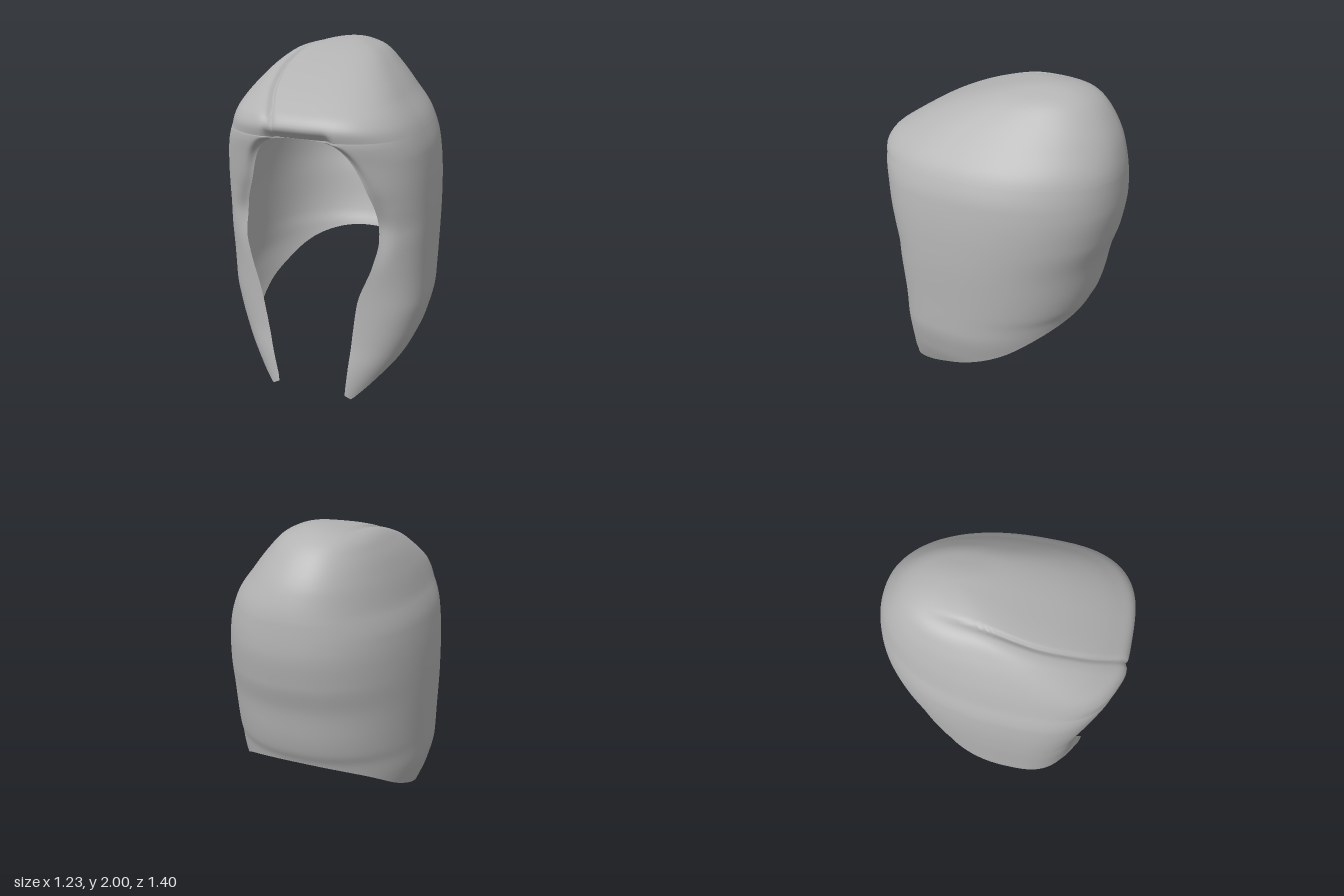
import * as THREE from 'three';
import { mergeVertices } from 'three/addons/utils/BufferGeometryUtils.js';

// Smooth monotone interpolation through [key, value] pairs with ascending keys
function curve(keys) {
  const n = keys.length;
  const d = keys.slice(1).map((k, i) => (k[1] - keys[i][1]) / (k[0] - keys[i][0]));
  const m = keys.map((_, i) => {
    if (i === 0) return d[0];
    if (i === n - 1) return d[n - 2];
    return d[i - 1] * d[i] <= 0 ? 0 : (2 * d[i - 1] * d[i]) / (d[i - 1] + d[i]);
  });
  return (x) => {
    if (x <= keys[0][0]) return keys[0][1];
    if (x >= keys[n - 1][0]) return keys[n - 1][1];
    let i = 0;
    while (x > keys[i + 1][0]) i++;
    const w = keys[i + 1][0] - keys[i][0], t = (x - keys[i][0]) / w, t2 = t * t, t3 = t2 * t;
    return (2 * t3 - 3 * t2 + 1) * keys[i][1] + (t3 - 2 * t2 + t) * w * m[i]
      + (3 * t2 - 2 * t3) * keys[i + 1][1] + (t3 - t2) * w * m[i + 1];
  };
}
// The same, keyed by height; spaced by the root of the depth so the crown is round
const byHeight = (keys) => {
  const f = curve(keys.map(([y, v]) => [Math.sqrt(2 - y), v]));
  return (y) => f(Math.sqrt(Math.max(0, 2 - y)));
};

// Half width and sideways shift of each level section
const halfWidth = byHeight([[2, 0], [1.98, 0.142], [1.95, 0.23], [1.87, 0.33], [1.74, 0.436], [1.6, 0.522],
  [1.45, 0.578], [1.2, 0.608], [1, 0.615], [0.8, 0.613], [0.6, 0.611], [0.4, 0.572], [0.25, 0.515],
  [0.1, 0.435], [0, 0.37]]);
const middleX = byHeight([[2, -0.035], [1.95, -0.06], [1.87, -0.052], [1.74, -0.03], [1.57, 0], [0, 0]]);
// Depth of the back, the middle and the front
const backZ = byHeight([[2, -0.25], [1.98, -0.4], [1.93, -0.5], [1.85, -0.575], [1.7, -0.655], [1.55, -0.69],
  [1.4, -0.698], [1.2, -0.672], [1.02, -0.622], [0.84, -0.59], [0.73, -0.56], [0.67, -0.53], [0, -0.4]]);
const midZ = byHeight([[2, -0.25], [1.98, -0.2], [1.93, -0.12], [1.85, 0], [1.7, 0.12], [1.55, 0.15], [0, 0.15]]);
const frontZ = byHeight([[2, -0.25], [1.98, -0.05], [1.93, 0.15], [1.85, 0.37], [1.73, 0.6], [1.67, 0.68],
  [1.62, 0.7], [1.57, 0.688], [1.45, 0.645], [1.3, 0.605], [1.2, 0.575], [1.05, 0.542], [0.8, 0.537],
  [0.6, 0.545], [0.35, 0.565], [0.2, 0.595], [0, 0.625]]);
// Face opening, distance of each edge from the middle
const BROW = 1.57;
const edgeR = byHeight([[BROW, 0], [1.568, 0.1], [1.56, 0.15], [1.52, 0.22], [1.45, 0.27], [1.3, 0.32],
  [1.1, 0.395], [0.95, 0.41], [0.8, 0.38], [0.6, 0.32], [0.3, 0.25], [0.05, 0.18]]);
const edgeL = byHeight([[BROW, 0], [1.568, 0.07], [1.56, 0.14], [1.53, 0.21], [1.45, 0.28], [1.3, 0.35],
  [1.15, 0.39], [1, 0.4], [0.85, 0.37], [0.6, 0.285], [0.3, 0.255], [0.04, 0.235]]);
// Lower hem height by depth, and the line of the parting by depth
const hemY = curve([[-0.55, 0.67], [-0.4, 0.58], [-0.2, 0.45], [0, 0.355], [0.35, 0.2], [0.45, 0.14],
  [0.55, 0.045], [0.6, 0]]);
const partX = curve([[-0.35, -0.21], [-0.1, -0.24], [0.2, -0.265], [0.45, -0.23], [0.68, -0.15]]);

// Squareness of the front and back halves of each section
const FRONT = 2 / 3, BACK = 0.9;
const edgeAngle = (x, w) => (x > 0 ? Math.asin(Math.min(1, Math.pow(x / w, 1 / FRONT))) : 0);
const bell = (x) => Math.exp(-x * x);

// Point on the shell; angle runs from the front over the right side to the back
function shellPoint(angle, y) {
  const right = angle < Math.PI, w = halfWidth(y), zc = midZ(y);
  const edge = y >= BROW ? 0 : (right ? edgeR : edgeL)(y);
  const s = Math.abs(Math.sin(angle)), c = Math.cos(angle), power = c > 0 ? FRONT : BACK;
  const x = w * Math.pow(s, power), along = Math.pow(Math.abs(c), power);
  let z = zc - (zc - backZ(y)) * along;
  if (c > 0) {
    const reach = Math.pow(Math.cos(edgeAngle(edge, w)), FRONT);
    z = zc + ((frontZ(y) - zc) / reach) * along;
    // Rolled lip around the brow, and a hollow beside each cheek
    const d = Math.hypot(Math.max(0, y - BROW), Math.max(0, x - Math.max(edge, 0.15)));
    z -= 0.035 * bell(d / 0.03) * THREE.MathUtils.smoothstep(y, 1.2, 1.55);
    z -= 0.035 * bell(d / 0.06) * bell((y - 1.1) / 0.2);
  }
  return new THREE.Vector3(middleX(y) + (right ? -x : x), y, z);
}

// Sink a narrow groove along the parting, with a slightly fuller lock to its right
function addParting(p) {
  if (p.y < 1.5 || p.z < -0.4) return p;
  const fade = THREE.MathUtils.smoothstep(p.z, -0.38, 0.05) * THREE.MathUtils.smoothstep(p.y, 1.5, 1.6);
  const d = p.x - partX(p.z);
  const push = -0.015 * bell(d / 0.013) + (d < 0 ? 0.008 * bell((d + 0.06) / 0.05) : 0);
  const out = new THREE.Vector3(p.x, p.y - 1.1, p.z).normalize();
  return p.addScaledVector(out, push * fade);
}

function shellGeometry() {
  const cols = 260, topRows = 50, lowRows = 70, positions = [], index = [];
  const spread = (u, y) => {
    const a = y >= BROW ? 0 : edgeAngle(edgeR(y), halfWidth(y));
    const b = y >= BROW ? 0 : edgeAngle(edgeL(y), halfWidth(y));
    return a + u * (2 * Math.PI - a - b);
  };
  // Hem height of each column, lifted a little at the inner corners of the tips
  const hem = [];
  for (let j = 0; j <= cols; j++) {
    const angle = spread(j / cols, 0.03);
    let y = 0.3;
    for (let k = 0; k < 25; k++) y = (y + hemY(shellPoint(angle, y).z)) / 2;
    hem.push(y + 0.04 * Math.max(0, 1 - Math.min(j, cols - j) / 10));
  }
  // Closed rings over the crown, then horseshoe rows around the face
  for (let i = 0; i <= topRows + lowRows; i++) {
    const s = (Math.min(i, topRows) / topRows) * Math.sqrt(2 - BROW);
    const q = (Math.max(0, i - topRows) / lowRows) ** 2;
    for (let j = 0; j <= cols; j++) {
      const y = i <= topRows ? 2 - s * s : THREE.MathUtils.lerp(BROW, hem[j], q);
      const edgeHeight = i <= topRows ? y : THREE.MathUtils.lerp(BROW, 0.03, q);
      const p = addParting(shellPoint(spread(j / cols, edgeHeight), y));
      positions.push(p.x, p.y, p.z);
    }
  }
  const row = cols + 1;
  for (let i = 0; i < topRows + lowRows; i++) {
    for (let j = 0; j < cols; j++) {
      const a = i * row + j;
      if (i > 0) index.push(a, a + 1, a + row);
      index.push(a + 1, a + row + 1, a + row);
    }
  }
  const g = new THREE.BufferGeometry();
  g.setAttribute('position', new THREE.Float32BufferAttribute(positions, 3));
  g.setIndex(index);
  const merged = mergeVertices(g, 1e-5);
  merged.computeVertexNormals();
  return merged;
}

export function createModel() {
  const group = new THREE.Group();
  group.name = 'hair';
  const grey = new THREE.MeshStandardMaterial({ color: 0xb3b3b3, side: THREE.DoubleSide });
  grey.name = 'grey';
  const shell = new THREE.Mesh(shellGeometry(), grey);
  shell.name = 'hairShell';
  group.add(shell);
  return group;
}
